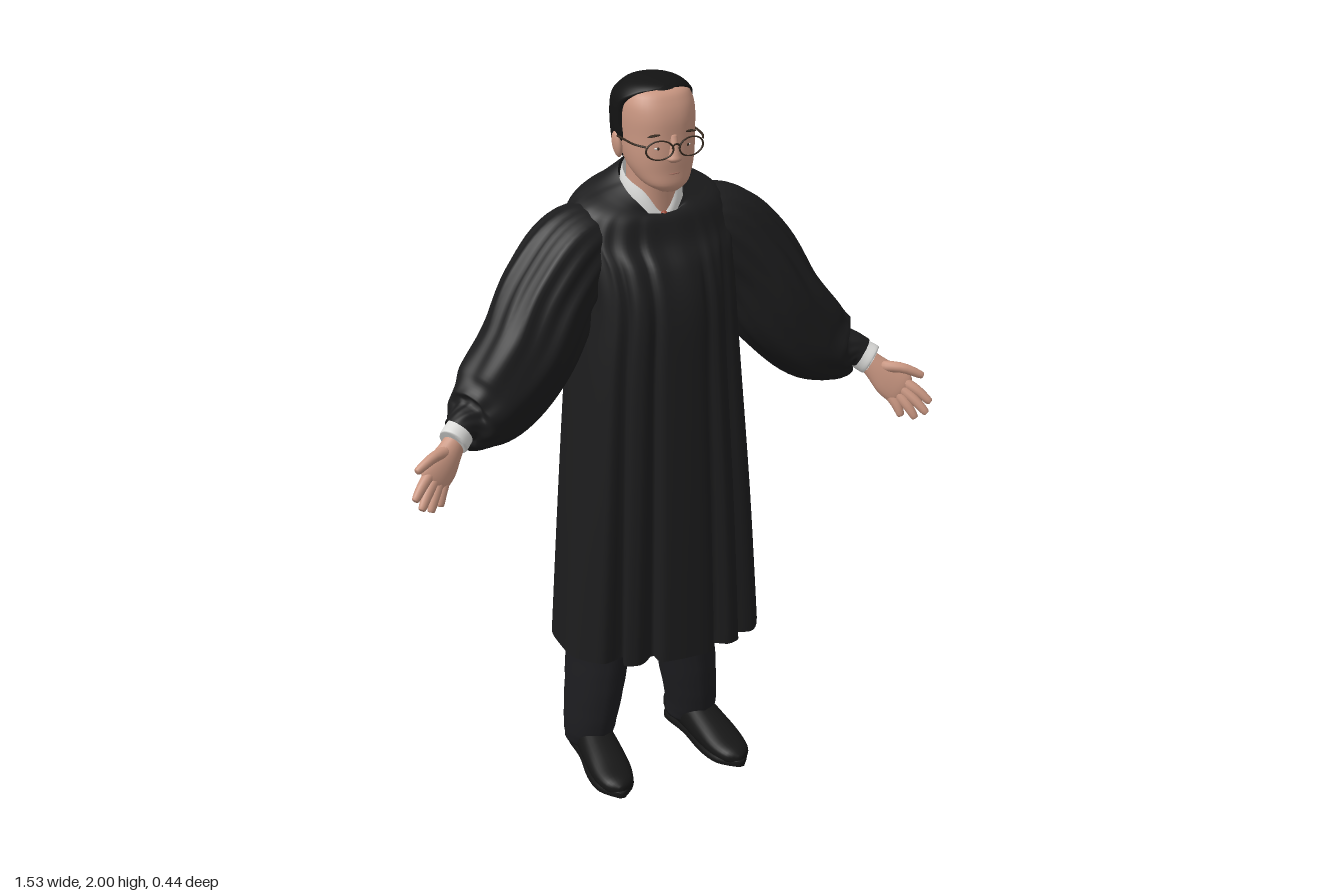
import * as THREE from 'three';

const mat = (name, color, side = THREE.FrontSide) => {
  const m = new THREE.MeshStandardMaterial({ color, side });
  m.name = name;
  return m;
};
const V = (x, y, z) => new THREE.Vector3(x, y, z);

// Catmull-Rom blend of table rows, u in 0..1
function sample(rows, u) {
  const k = rows.length - 1, f = u * k, i = Math.min(Math.floor(f), k - 1), t = f - i;
  const at = (j) => rows[Math.max(0, Math.min(k, j))];
  return rows[0].map((_, c) => {
    const [a, b, d, e] = [at(i - 1)[c], at(i)[c], at(i + 1)[c], at(i + 2)[c]];
    return b + 0.5 * t * (d - a + t * (2 * a - 5 * b + 4 * d - e + t * (3 * (b - d) + e - a)));
  });
}

// Sweep of superellipse rings. Row: x, y, z, radiusA, radiusB, tilt, vDip, gapAngle
function loft(rows, { n = 24, steps = 24, ref = V(0, 0, 1), tan, p = 2, fold, floor, gap, cap } = {}) {
  const pos = [], idx = [], cols = gap ? n + 1 : n;
  const sgn = (v) => Math.sign(v) * Math.abs(v) ** (2 / p);
  for (let j = 0; j <= steps; j++) {
    const u = j / steps, r = sample(rows, u);
    const e = 0.01, q0 = sample(rows, Math.max(0, u - e)), q1 = sample(rows, Math.min(1, u + e));
    const t = tan || V(q1[0] - q0[0], q1[1] - q0[1], q1[2] - q0[2]).normalize();
    const a = t.clone().cross(ref).normalize(), b = a.clone().cross(t);
    for (let i = 0; i < cols; i++) {
      const g = gap ? Math.max(0, r[7]) : 0;
      const w = i / n, th = Math.PI / 2 * (gap ? 1 : 0) + g + w * (2 * Math.PI - 2 * g);
      const k = fold ? fold(th, u, w) : 1;
      const c = Math.cos(th), s = Math.sin(th);
      const P = V(r[0], r[1], r[2]).addScaledVector(a, sgn(c) * r[3] * k).addScaledVector(b, sgn(s) * r[4] * k);
      P.y += (r[5] || 0) * s - (r[6] || 0) * Math.max(0, s) ** 8;
      if (floor !== undefined) P.y = Math.max(floor, P.y);
      pos.push(P.x, P.y, P.z);
    }
  }
  for (let j = 0; j < steps; j++) for (let i = 0; i < n; i++) {
    const A = j * cols + i, B = j * cols + (i + 1) % cols, C = A + cols, D = B + cols;
    idx.push(A, C, B, C, D, B);
  }
  if (cap) for (const j of [0, steps]) {
    const mid = sample(rows, j / steps), m = pos.length / 3;
    pos.push(mid[0], mid[1], mid[2]);
    for (let i = 0; i < n; i++) {
      const A = j * cols + i, B = j * cols + (i + 1) % cols;
      j ? idx.push(m, B, A) : idx.push(m, A, B);
    }
  }
  const g = new THREE.BufferGeometry();
  g.setAttribute('position', new THREE.Float32BufferAttribute(pos, 3));
  g.setIndex(idx);
  g.computeVertexNormals();
  return g;
}

export function createModel() {
  const root = new THREE.Group();
  const M = {
    robe: mat('robeBlack', 0x1c1c1d, THREE.DoubleSide),
    trousers: mat('trouserCharcoal', 0x1d1d20, THREE.DoubleSide),
    shoe: mat('shoeBlack', 0x161616),
    skin: mat('skin', 0xca9782),
    lip: mat('lip', 0xae7667),
    hair: mat('hairBlack', 0x131313, THREE.DoubleSide),
    shirt: mat('shirtWhite', 0xdcdcda, THREE.DoubleSide),
    frame: mat('glassesDark', 0x35291f),
    tie: mat('tieRed', 0x9c4a38),
  };
  const add = (name, geo, m, parent = root) => {
    const o = new THREE.Mesh(geo, m);
    o.name = name;
    parent.add(o);
    return o;
  };
  const ball = (name, m, x, y, z, sx, sy, sz, rz = 0) => {
    const o = add(name, new THREE.SphereGeometry(1, 20, 14), m);
    o.position.set(x, y, z);
    o.scale.set(sx, sy, sz);
    o.rotation.z = rz;
    return o;
  };
  const UP = V(0, 1, 0);

  // Robe body with deep front pleats fading towards the yoke
  const pleats = [-0.66, -0.32, 0.3, 0.62];
  const robeFold = (th, u) => {
    const c = Math.cos(th), s = Math.sin(th), f = Math.max(0, 1 - u / 0.85);
    let d = 0;
    if (s > 0) for (const q of pleats) d += Math.exp(-(((c - q) / 0.055) ** 2));
    const gather = 0.014 * Math.sin(th * 22) * Math.exp(-(((u - 0.56) / 0.16) ** 2));
    return 1 - d * (0.05 * f + 0.16 * f * f) * Math.min(1, s * 2) + gather + 0.01 * f * Math.sin(th * 9 + 1);
  };
  add('robe', loft([
    [-0.005, 0.40, 0.003, 0.295, 0.214, 0, 0], [-0.005, 0.80, -0.002, 0.268, 0.209, 0, 0],
    [-0.005, 1.20, -0.012, 0.236, 0.202, 0, 0], [0, 1.40, -0.02, 0.218, 0.195, 0, 0],
    [0, 1.52, -0.038, 0.22, 0.176, -0.01, 0], [0, 1.60, -0.057, 0.232, 0.146, -0.03, 0],
    [0, 1.662, -0.055, 0.2, 0.119, -0.032, 0], [0, 1.692, -0.05, 0.137, 0.096, -0.036, 0.014],
    [0, 1.712, -0.034, 0.085, 0.078, -0.055, 0.045],
  ], { n: 144, steps: 48, tan: UP, p: 2.35, fold: robeFold }), M.robe);

  for (const s of [1, -1]) {
    const side = s > 0 ? 'left' : 'right';
    const mir = (rows) => rows.map(([x, ...r]) => [x * s, ...r]);

    // Full sleeve, gathered at the shoulder and creased above the cuff
    const sleeveFold = (th, u) => 1
      + 0.03 * Math.sin(th * 16) * Math.exp(-(((u - 0.27) / 0.17) ** 2))
      + Math.sin(u * Math.PI) * (0.032 * Math.sin(th * 7 + u * 5) + 0.02 * Math.sin(th * 4 - u * 16))
      + 0.03 * Math.sin(th * 11 + u * 8) * Math.exp(-(((u - 0.8) / 0.1) ** 2));
    add(side + 'Sleeve', loft(mir([
      [0.08, 1.61, -0.07, 0.05, 0.075], [0.185, 1.55, -0.06, 0.125, 0.113], [0.285, 1.442, -0.042, 0.138, 0.123],
      [0.37, 1.305, -0.018, 0.136, 0.125], [0.475, 1.19, 0.003, 0.122, 0.108], [0.55, 1.15, 0.032, 0.09, 0.08],
      [0.585, 1.148, 0.052, 0.05, 0.047], [0.60, 1.14, 0.06, 0.044, 0.042],
    ]), { n: 96, steps: 48, fold: sleeveFold }), M.robe);
    add(side + 'ShirtCuff', loft(mir([
      [0.578, 1.152, 0.048, 0.04, 0.038], [0.605, 1.133, 0.064, 0.043, 0.038], [0.624, 1.12, 0.078, 0.042, 0.036], [0.618, 1.124, 0.074, 0.024, 0.022],
    ]), { n: 28, steps: 12 }), M.shirt);

    // Open hand, palm forward, the left reaching a little further ahead
    const reach = s > 0 ? 1.08 : 0.68;
    const pose = (rows) => mir(rows).map(([x, y, z, ...r]) => [x, y, 0.066 + (z - 0.066) * reach, ...r]);
    const hand = new THREE.Group();
    hand.name = side + 'Hand';
    root.add(hand);
    add('palm', loft(pose([
      [0.605, 1.133, 0.066, 0.028, 0.026], [0.635, 1.098, 0.088, 0.036, 0.026], [0.665, 1.066, 0.108, 0.048, 0.024],
      [0.692, 1.04, 0.126, 0.046, 0.018], [0.704, 1.029, 0.132, 0.03, 0.008],
    ]), { n: 20, steps: 14, cap: true }), M.skin, hand);
    const fingers = {
      thumb: [[0.645, 1.105, 0.098], [0.692, 1.105, 0.13], [0.74, 1.083, 0.15]],
      indexFinger: [[0.695, 1.062, 0.118], [0.727, 1.04, 0.148], [0.755, 1.01, 0.172]],
      middleFinger: [[0.688, 1.045, 0.124], [0.717, 1.015, 0.155], [0.74, 0.983, 0.18]],
      ringFinger: [[0.677, 1.033, 0.122], [0.698, 1.0, 0.15], [0.713, 0.968, 0.168]],
      littleFinger: [[0.66, 1.03, 0.114], [0.674, 1.0, 0.134], [0.682, 0.971, 0.146]],
    };
    for (const [name, [a, b, c]] of Object.entries(fingers)) {
      const end = c.map((v, i) => v + (v - b[i]) * 0.08);
      add(name, loft(pose([[...a, 0.017, 0.016], [...b, 0.0145, 0.014], [...c, 0.0105, 0.01], [...end, 0.003, 0.003]]),
        { n: 12, steps: 10, cap: true }), M.skin, hand);
    }

    // Trouser leg with front crease and wrinkles at the ankle
    const lx = s * 0.128 - 0.028, fx = s * 0.161 - 0.026;
    add(side + 'TrouserLeg', loft([
      [fx, 0.04, -0.072, 0.062, 0.078], [fx, 0.1, -0.058, 0.068, 0.096], [(lx + fx) / 2, 0.24, -0.052, 0.079, 0.11],
      [lx, 0.4, -0.055, 0.087, 0.118], [lx, 0.65, -0.045, 0.09, 0.12], [lx, 0.9, -0.03, 0.09, 0.12],
    ], { n: 32, steps: 24, tan: UP, cap: true, fold: (th, u) => 1 + 0.04 * Math.exp(-(((th - 1.57) / 0.15) ** 2)) + 0.012 * Math.sin(u * 60 + th * 2) * (1 - u) }), M.trousers);

    // Shoe, toes turned out
    const foot = new THREE.Group();
    foot.name = side + 'Shoe';
    foot.position.set(fx, 0, -0.04);
    foot.rotation.y = s * 0.1;
    root.add(foot);
    add('upper', loft([
      [0, 0.05, -0.105, 0.025, 0.03], [0, 0.055, -0.085, 0.046, 0.05], [0, 0.06, 0.0, 0.05, 0.058], [0, 0.046, 0.1, 0.057, 0.046],
      [0, 0.034, 0.18, 0.056, 0.032], [0, 0.028, 0.235, 0.04, 0.023], [0, 0.024, 0.258, 0.008, 0.01],
    ], { n: 28, steps: 24, ref: UP, tan: V(0, 0, 1), p: 2.3, floor: 0.012, cap: true }), M.shoe, foot);
    add('sole', loft([
      [0, 0.012, -0.107, 0.02, 0.012], [0, 0.012, -0.08, 0.047, 0.012], [0, 0.012, 0.02, 0.046, 0.012], [0, 0.012, 0.13, 0.06, 0.012],
      [0, 0.012, 0.21, 0.052, 0.012], [0, 0.012, 0.262, 0.01, 0.01],
    ], { n: 16, steps: 20, ref: UP, tan: V(0, 0, 1), p: 6, floor: 0, cap: true }), M.shoe, foot);

    // Ear, eye, brow
    ball(side + 'Ear', M.skin, s * 0.1, 1.822, -0.03, 0.011, 0.036, 0.022, -s * 0.15);
    ball(side + 'EyeWhite', M.shirt, s * 0.042, 1.838, 0.09, 0.01, 0.0035, 0.007);
    ball(side + 'Pupil', M.frame, s * 0.042, 1.838, 0.095, 0.004, 0.004, 0.003);
    ball(side + 'Brow', M.frame, s * 0.046, 1.873, 0.09, 0.024, 0.003, 0.007, -s * 0.1);

    // Glasses rim and temple arm
    const rim = add(side + 'GlassesRim', new THREE.TorusGeometry(0.034, 0.0025, 8, 32), M.frame);
    rim.position.set(s * 0.045, 1.838, 0.11);
    rim.scale.set(1.08, 0.74, 1);
    rim.rotation.y = s * 0.15;
    add(side + 'GlassesTemple', new THREE.TubeGeometry(new THREE.CatmullRomCurve3([
      V(s * 0.08, 1.85, 0.105), V(s * 0.097, 1.85, 0.07), V(s * 0.105, 1.847, -0.025), V(s * 0.103, 1.835, -0.045),
    ]), 16, 0.003, 6), M.frame);
  }
  const bridge = add('glassesBridge', new THREE.TorusGeometry(0.011, 0.0025, 6, 12, Math.PI), M.frame);
  bridge.position.set(0, 1.84, 0.115);

  // Neck, shirt collar and tie knot
  add('neck', loft([[0, 1.58, -0.04, 0.07, 0.068], [0, 1.68, -0.035, 0.065, 0.066], [0, 1.78, -0.03, 0.068, 0.072]],
    { steps: 8, tan: UP }), M.skin);
  add('shirtCollar', loft([
    [0, 1.66, -0.035, 0.086, 0.08, -0.05, 0.03], [0, 1.71, -0.034, 0.082, 0.079, -0.045, 0.04],
    [0, 1.735, -0.034, 0.076, 0.073, -0.035, 0.058],
  ], { n: 48, steps: 8, tan: UP }), M.shirt);
  ball('tieKnot', M.tie, 0, 1.634, 0.044, 0.01, 0.014, 0.01);

  // Head and face
  add('head', loft([
    [0, 1.716, 0.06, 0.028, 0.032], [0, 1.735, 0.042, 0.06, 0.062], [0, 1.77, 0.016, 0.081, 0.088], [0, 1.81, 0.003, 0.091, 0.102],
    [0, 1.86, -0.01, 0.096, 0.112], [0, 1.91, -0.014, 0.099, 0.112], [0, 1.95, -0.017, 0.094, 0.1],
    [0, 1.977, -0.02, 0.073, 0.077], [0, 1.989, -0.02, 0.01, 0.01],
  ], { n: 40, steps: 36, tan: UP, p: 2.3, cap: true }), M.skin);
  add('nose', loft([
    [0, 1.798, 0.1, 0.01, 0.008], [0, 1.808, 0.104, 0.021, 0.02], [0, 1.822, 0.104, 0.016, 0.018],
    [0, 1.85, 0.1, 0.011, 0.013], [0, 1.872, 0.094, 0.011, 0.008],
  ], { n: 16, steps: 14, tan: UP, cap: true }), M.skin);
  ball('chin', M.skin, 0, 1.737, 0.076, 0.036, 0.022, 0.024);
  ball('upperLip', M.skin, 0, 1.783, 0.084, 0.036, 0.016, 0.02);
  ball('mouth', M.lip, 0, 1.768, 0.096, 0.027, 0.004, 0.009);

  // Hair shell with receding temples and a peak, edges tucked to the scalp
  add('hair', loft([
    [0, 1.765, -0.045, 0.06, 0.06, 0, 0, 2.1], [0, 1.775, -0.044, 0.082, 0.082, 0, 0, 2.0], [0, 1.805, -0.035, 0.098, 0.106, 0, 0, 1.75],
    [0, 1.84, -0.025, 0.104, 0.125, 0, 0, 1.4], [0, 1.88, -0.022, 0.107, 0.133, 0, 0, 1.4], [0, 1.92, -0.02, 0.108, 0.13, 0, 0, 1.38],
    [0, 1.95, -0.022, 0.104, 0.114, 0, 0, 1.2], [0, 1.972, -0.022, 0.09, 0.092, 0, 0, 0.75], [0, 1.988, -0.02, 0.068, 0.074, 0, 0, 0.1],
    [0, 1.997, -0.018, 0.038, 0.044, 0, 0, 0], [0, 2.0, -0.017, 0.001, 0.001, 0, 0, 0],
  ], {
    n: 56, steps: 40, tan: UP, p: 2.1, gap: true,
    fold: (th, u, w) => 1 - (u < 0.74 ? 0.13 * Math.max(0, 1 - Math.min(w, 1 - w) / 0.05) ** 2 : 0),
  }), M.hair);
  const peak = ball('hairPeak', M.hair, 0, 1.972, 0.04, 0.042, 0.013, 0.04);
  peak.rotation.x = 0.55;

  return root;
}
